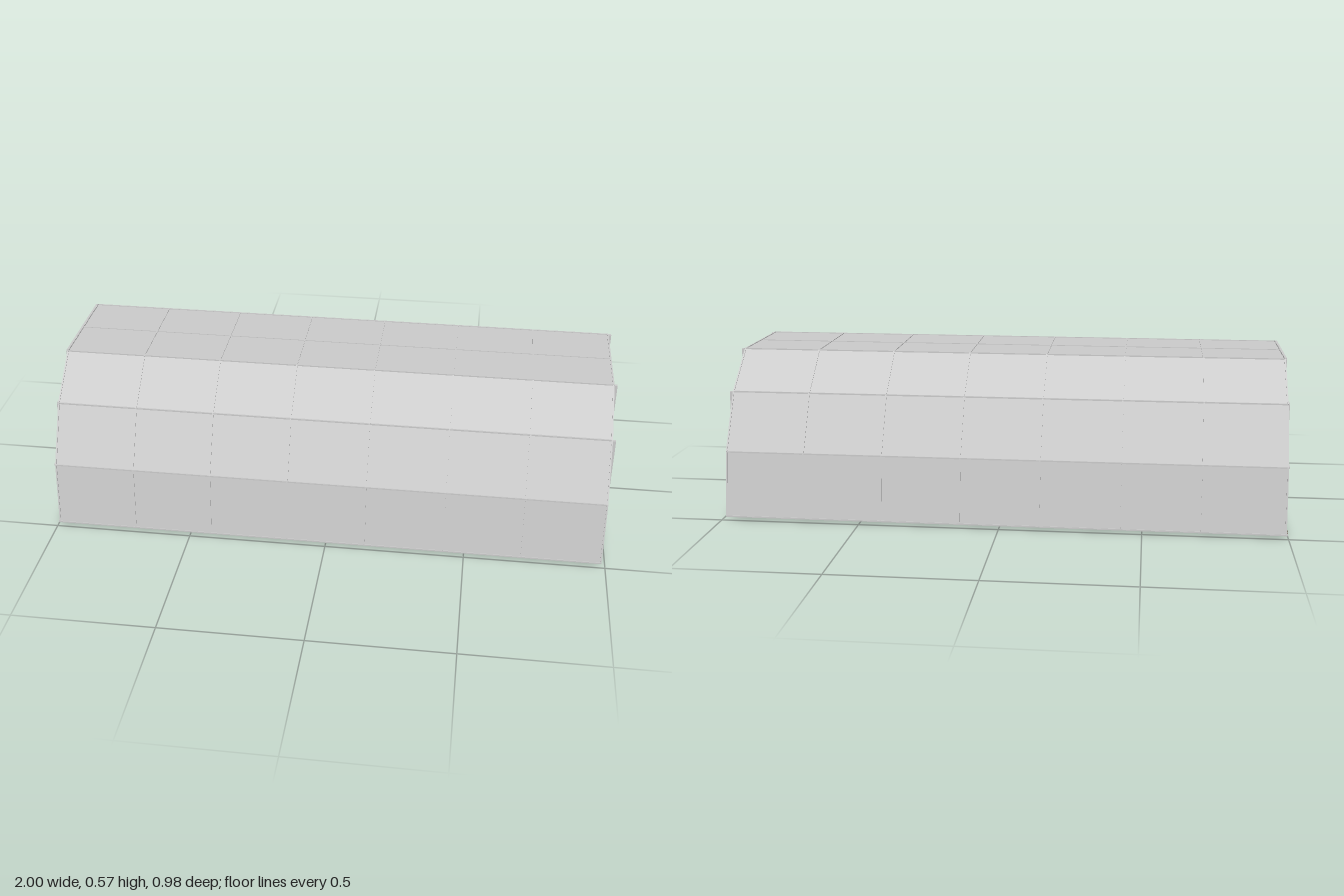
import * as THREE from 'three';

const BASE = 0.012, X0 = -0.992, X1 = 0.985;
// Half cross-section [z, y], mirrored into the full faceted arch
const HALF = [[0.487, BASE], [0.453, 0.242], [0.345, 0.44], [0.187, 0.57]];
const ARCH = [...HALF, ...HALF.map(([z, y]) => [-z, y]).reverse()];

const grey = new THREE.MeshStandardMaterial({ color: 0xcccccc, flatShading: true, side: THREE.DoubleSide });
const wood = new THREE.MeshStandardMaterial({ color: 0x3a2212, side: THREE.DoubleSide });

function add(parent, geometry, material, name) {
  const mesh = new THREE.Mesh(geometry, material);
  mesh.name = name;
  parent.add(mesh);
  return mesh;
}

// Square bar between two points
function bar(parent, a, b, name, size = 0.007) {
  const p = new THREE.Vector3(...a), q = new THREE.Vector3(...b);
  const mesh = add(parent, new THREE.BoxGeometry(size, size, p.distanceTo(q)), grey, name);
  mesh.position.copy(p).add(q).multiplyScalar(0.5);
  mesh.lookAt(q);
  return mesh;
}

// Faceted covering, one long panel per side of the arch
function coverGeometry() {
  const pos = [];
  for (let i = 0; i < ARCH.length - 1; i++) {
    const [z0, y0] = ARCH[i], [z1, y1] = ARCH[i + 1];
    const a = [X0, y0, z0], b = [X1, y0, z0], c = [X1, y1, z1], d = [X0, y1, z1];
    pos.push(...a, ...b, ...c, ...a, ...c, ...d);
  }
  const g = new THREE.BufferGeometry();
  g.setAttribute('position', new THREE.Float32BufferAttribute(pos, 3));
  g.computeVertexNormals();
  return g;
}

// Slightly uneven boards, warped along the length
function floorGeometry() {
  const g = new THREE.PlaneGeometry(1.985, 0.972, 48, 48);
  g.rotateX(-Math.PI / 2);
  g.translate(-0.0075, 0, 0);
  const p = g.attributes.position;
  for (let i = 0; i < p.count; i++) {
    const x = p.getX(i), z = p.getZ(i);
    const dip = 0.011 * THREE.MathUtils.smoothstep(x, 0.15, 0.5)
      * (Math.exp(-(((z - 0.21) / 0.025) ** 2)) + 0.6 * Math.exp(-(((z - 0.02) / 0.025) ** 2)));
    const lift = 0.008 * THREE.MathUtils.smoothstep(-x, 0.85, 1) * Math.max(0, Math.sin(z * 26));
    p.setY(i, BASE - 0.001 - dip + lift);
  }
  g.computeVertexNormals();
  return g;
}

export function createModel() {
  const model = new THREE.Group();
  model.name = 'archedShelter';

  add(model, coverGeometry(), grey, 'cover');
  add(model, floorGeometry(), wood, 'woodenFloor');

  // End walls
  const wallShape = new THREE.Shape(ARCH.map(([z, y]) => new THREE.Vector2(z, y)));
  for (const [x, name] of [[X0 + 0.002, 'rightEndWall'], [X1 - 0.002, 'leftEndWall']]) {
    const wall = add(model, new THREE.ShapeGeometry(wallShape), grey, name);
    wall.rotation.y = Math.PI / 2;
    wall.position.x = x;
  }

  // Hoops following the arch
  const hoops = new THREE.Group();
  hoops.name = 'hoops';
  model.add(hoops);
  for (const x of [X0, -0.705, -0.423, -0.141, 0.141, 0.423, 0.705, X1]) {
    for (let i = 0; i < ARCH.length - 1; i++) {
      const [z0, y0] = ARCH[i], [z1, y1] = ARCH[i + 1];
      bar(hoops, [x, y0, z0], [x, y1, z1], 'hoopSegment', 0.005);
    }
  }

  // Lengthwise rails at each fold and along the ridge
  const rails = new THREE.Group();
  rails.name = 'rails';
  model.add(rails);
  for (const [z, y] of [...ARCH, [0, 0.57]])
    bar(rails, [X0, y, z], [X1, y, z], 'rail', 0.005);

  // Lattice on the right end
  const lattice = new THREE.Group();
  lattice.name = 'rightEndLattice';
  model.add(lattice);
  for (const [z, y] of [[0.345, 0.44], [0.187, 0.57], [0, 0.57], [-0.187, 0.57], [-0.345, 0.44]])
    bar(lattice, [X0 - 0.002, BASE, z], [X0 - 0.002, y, z], 'latticePost', 0.009);
  for (const [z, y] of HALF)
    bar(lattice, [X0 - 0.002, y, -z], [X0 - 0.002, y, z], 'latticeRail', 0.008);

  // Door posts on the left end
  const posts = new THREE.Group();
  posts.name = 'leftEndPosts';
  model.add(posts);
  for (const s of [-1, 1]) {
    for (const [z, y] of [[0.345, 0.44], [0.187, 0.57]])
      bar(posts, [X1 + 0.008, BASE, s * z], [X1 + 0.008, y, s * z], 'post', 0.01);
  }
  bar(posts, [X1, BASE, -0.487], [X1, BASE, 0.487], 'sill', 0.004);

  return model;
}
